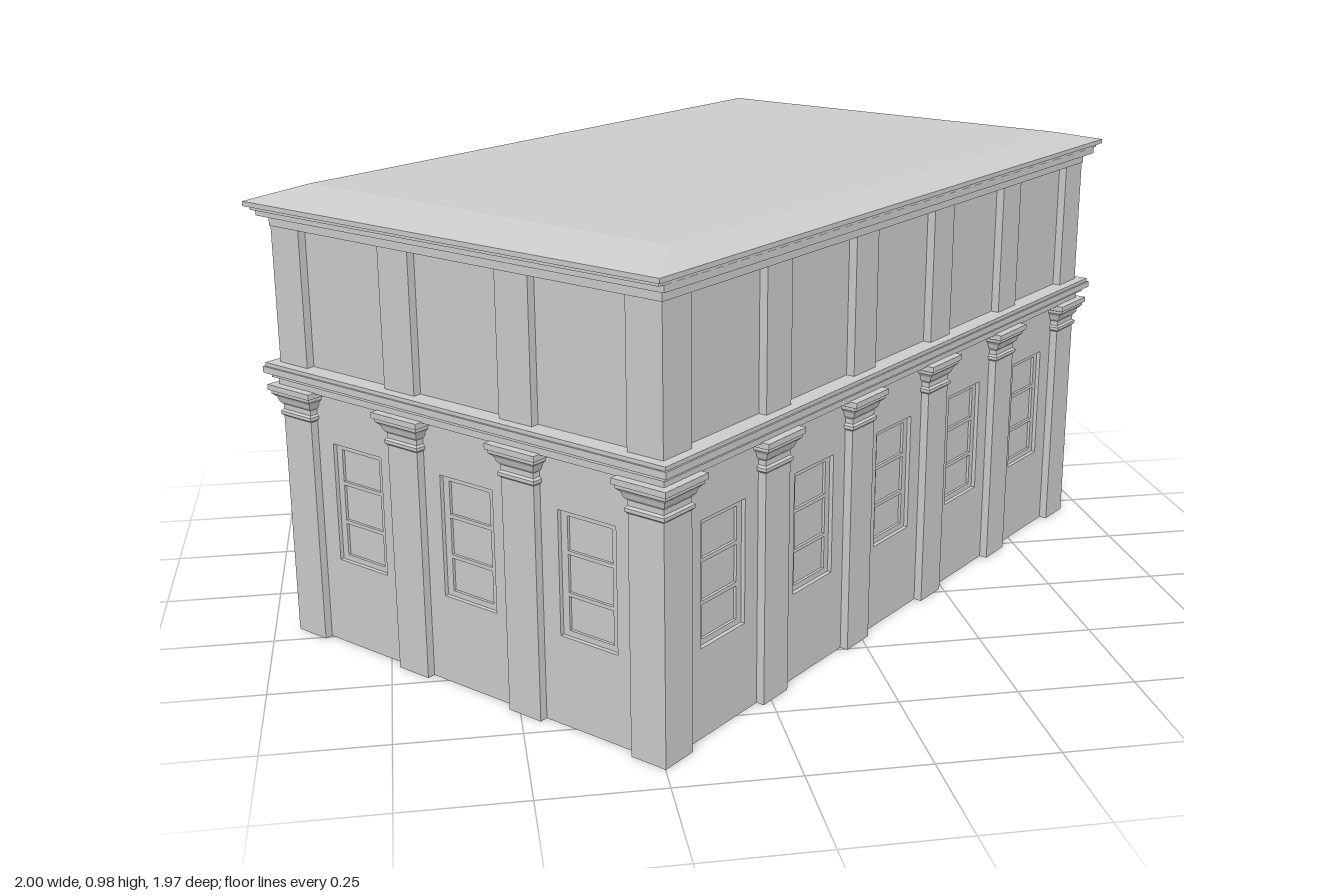
import * as THREE from 'three';

const material = new THREE.MeshStandardMaterial({ color: 0xcccccc, flatShading: true });

// Half sizes of the plan: outer pilaster faces, wall faces, inner room
const OUT = [0.823, 0.508], WALL = [0.805, 0.49], ROOM = [0.71, 0.395];
const SKIN = 0.015, PITCH = 0.31, POST = 0.0415, TOP = 0.92;

function add(parent, name, geometry, x = 0, y = 0, z = 0) {
  const mesh = new THREE.Mesh(geometry, material);
  mesh.name = name;
  mesh.position.set(x, y, z);
  parent.add(mesh);
  return mesh;
}

function rect(PathType, x0, y0, x1, y1) {
  const p = new PathType();
  p.moveTo(x0, y0);
  p.lineTo(x1, y0);
  p.lineTo(x1, y1);
  p.lineTo(x0, y1);
  p.closePath();
  return p;
}

// Rectangular ring around the hollow room, from y0 to y1
function ring(parent, name, hx, hz, y0, y1) {
  const s = rect(THREE.Shape, -hx, -hz, hx, hz);
  s.holes.push(rect(THREE.Path, -ROOM[0], -ROOM[1], ROOM[0], ROOM[1]));
  const g = new THREE.ExtrudeGeometry(s, { depth: y1 - y0, bevelEnabled: false });
  g.rotateX(-Math.PI / 2);
  add(parent, name, g, 0, y0, 0);
}

// Square post with the given [half side, y] profile
function squareLathe(profile) {
  const pts = profile.map(([r, y]) => new THREE.Vector2(r * Math.SQRT2, y));
  return new THREE.LatheGeometry(pts, 4, Math.PI / 4);
}

// Wall skin with openings, its face at z = plane
function facade(name, half, plane, openings) {
  const group = new THREE.Group();
  group.name = name;
  const s = rect(THREE.Shape, -half, 0, half, TOP);
  for (const o of openings) {
    s.holes.push(rect(THREE.Path, o.u - o.w / 2, o.y0, o.u + o.w / 2, o.y1));
  }
  const g = new THREE.ExtrudeGeometry(s, { depth: SKIN, bevelEnabled: false });
  add(group, 'wallFace', g, 0, 0, plane - SKIN);
  for (const o of openings) {
    const h = o.y1 - o.y0, yc = (o.y0 + o.y1) / 2, z = plane - SKIN + 0.003;
    if (o.door) {
      add(group, 'door', new THREE.BoxGeometry(o.w, h, 0.006), o.u, yc, z);
      continue;
    }
    // Window frame and glazing bars
    for (const side of [-1, 1]) {
      add(group, 'windowStile', new THREE.BoxGeometry(0.016, h, 0.006), o.u + side * (o.w / 2 - 0.008), yc, z);
      add(group, 'windowRail', new THREE.BoxGeometry(o.w - 0.032, 0.012, 0.006), o.u, yc + side * (h / 2 - 0.006), z);
      add(group, 'glazingBar', new THREE.BoxGeometry(o.w - 0.032, 0.008, 0.006), o.u, yc + side * h / 6, z);
    }
  }
  return group;
}

export function createModel() {
  const model = new THREE.Group();
  model.name = 'building';
  const hall = new THREE.Group();
  hall.name = 'hall';
  hall.rotation.y = 0.757;
  model.add(hall);

  // Thick hollow walls
  ring(hall, 'wallCore', WALL[0] - SKIN, WALL[1] - SKIN, 0, TOP);

  // Four facades
  const win = u => ({ u, w: 0.142, y0: 0.19, y1: 0.45 });
  const longSide = [-2, -1, 0, 1, 2].map(i => win(i * PITCH));
  const shortSide = [-1, 0, 1].map(i => win(i * PITCH));
  const doorSide = [{ u: -PITCH, w: 0.122, y0: 0.03, y1: 0.3, door: true }, win(0), win(PITCH)];
  [longSide, doorSide, longSide, shortSide].forEach((openings, i) => {
    const isLong = i % 2 === 0;
    const f = facade(['frontWall', 'doorWall', 'rearWall', 'endWall'][i],
      isLong ? WALL[0] : WALL[1] - SKIN, isLong ? WALL[1] : WALL[0], openings);
    f.rotation.y = i * Math.PI / 2;
    hall.add(f);
  });

  // Pilasters: flared capitals below, plain shafts above
  const lower = squareLathe([[0, 0], [POST, 0], [POST, 0.492], [0.046, 0.496], [0.046, 0.503], [POST, 0.507],
    [POST, 0.518], [0.047, 0.524], [0.05, 0.534], [0.058, 0.542], [0.058, 0.548], [0.063, 0.55], [0.063, 0.562], [0, 0.562]]);
  const upper = new THREE.BoxGeometry(POST * 2, 0.31, POST * 2);
  const px = OUT[0] - POST, pz = OUT[1] - POST;
  const spots = [];
  for (const side of [-1, 1]) {
    for (const x of [-px, -1.5 * PITCH, -PITCH / 2, PITCH / 2, 1.5 * PITCH, px]) spots.push([x, side * pz]);
    for (const z of [-PITCH / 2, PITCH / 2]) spots.push([side * px, z]);
  }
  for (const [x, z] of spots) {
    add(hall, 'lowerPilaster', lower, x, 0, z);
    add(hall, 'upperPilaster', upper, x, 0.755, z);
  }

  // Mouldings as [name, overhang, bottom, top]
  for (const [name, e, y0, y1] of [
    ['frieze', 0.004, 0.56, 0.578],
    ['middleCorniceBed', 0.014, 0.578, 0.588],
    ['middleCornice', 0.026, 0.588, 0.602],
    ['middleCorniceCap', 0.022, 0.602, 0.61],
    ['upperFrieze', 0.002, 0.9, 0.922],
    ['upperCorniceBed', 0.02, 0.922, 0.936],
  ]) ring(hall, name, OUT[0] + e, OUT[1] + e, y0, y1);

  // Eaves and low hipped roof with a flat top
  const ex = 0.8665, ez = 0.5375;
  add(hall, 'eavesBed', new THREE.BoxGeometry(ex * 2 - 0.02, 0.008, ez * 2 - 0.02), 0, 0.94, 0);
  add(hall, 'eaves', new THREE.BoxGeometry(ex * 2, 0.01, ez * 2), 0, 0.949, 0);
  const roof = new THREE.BoxGeometry(ex * 2, 0.026, ez * 2);
  const p = roof.attributes.position;
  for (let i = 0; i < p.count; i++) {
    if (p.getY(i) > 0) {
      p.setX(i, Math.sign(p.getX(i)) * 0.75);
      p.setZ(i, Math.sign(p.getZ(i)) * 0.467);
    }
  }
  roof.computeVertexNormals();
  add(hall, 'roof', roof, 0, 0.967, 0);

  return model;
}
